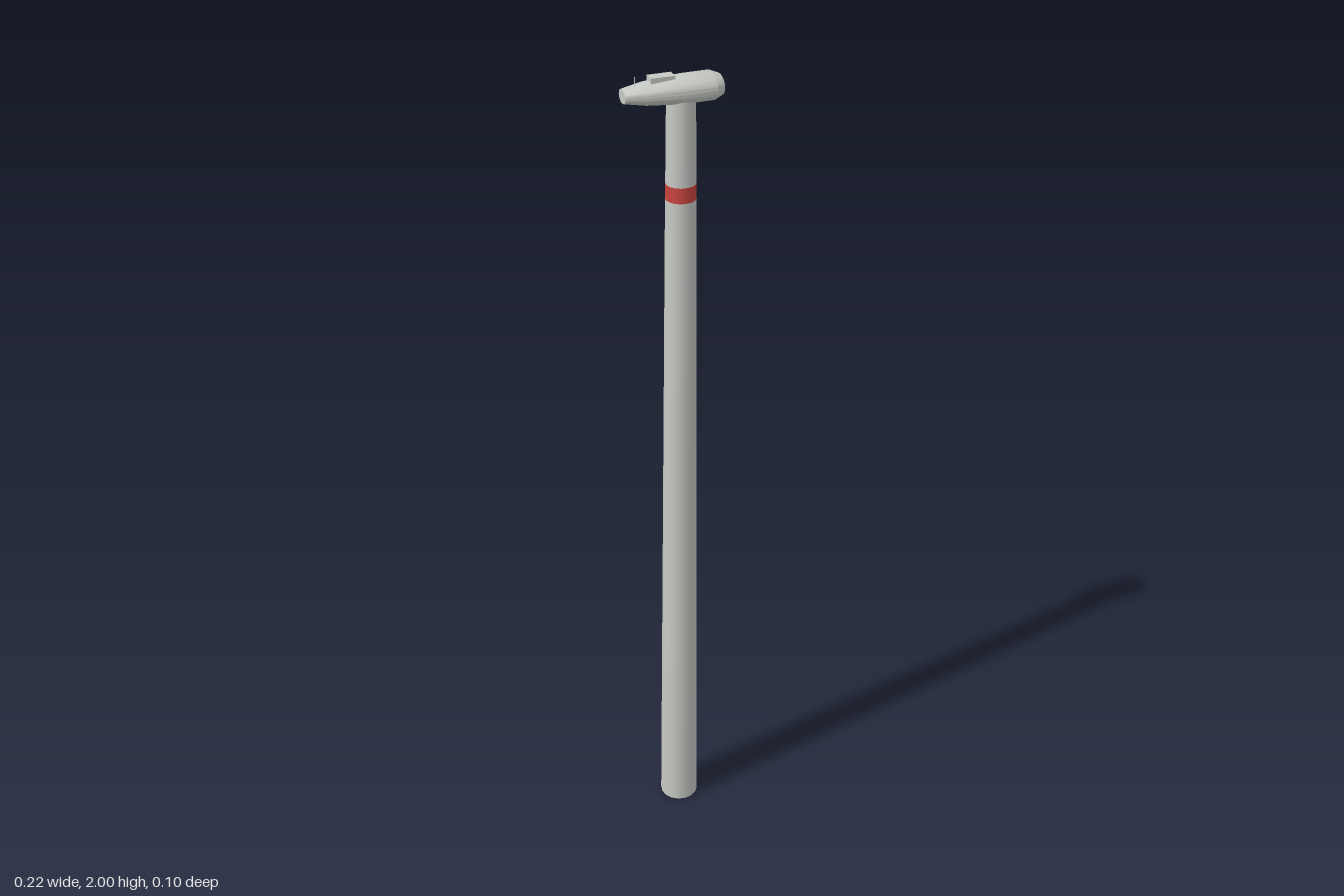
import * as THREE from 'three';
import { toCreasedNormals } from 'three/addons/utils/BufferGeometryUtils.js';

const SIDES = 16;
const TOWER_X = 0.022;

export function createModel() {
  const model = new THREE.Group();
  model.name = 'windTurbineTower';

  const paleGrey = new THREE.MeshStandardMaterial({ color: 0xc6c9c4 });
  paleGrey.name = 'pale grey';
  const red = new THREE.MeshStandardMaterial({ color: 0xc8443e });
  red.name = 'warning red';

  const add = (name, geometry, material, x = 0, y = 0, z = 0) => {
    const mesh = new THREE.Mesh(geometry, material);
    mesh.name = name;
    mesh.position.set(x, y, z);
    model.add(mesh);
    return mesh;
  };

  // Tapered tower, stacked in sections with a red warning band
  const section = (name, y0, y1, r0, r1, material, open) => add(
    name,
    new THREE.CylinderGeometry(r1, r0, y1 - y0, SIDES, 1, open),
    material, TOWER_X, (y0 + y1) / 2);
  section('lowerTower', 0, 1.714, 0.048, 0.0345, paleGrey, false);
  section('warningBand', 1.714, 1.75, 0.0345, 0.034, red, true);
  section('upperTower', 1.75, 1.945, 0.034, 0.032, paleGrey, false);

  // Nacelle: turned along x, flattened in height, [x, radius]
  const profile = [
    [-0.11, 0], [-0.11, 0.021], [-0.062, 0.033], [0, 0.04], [0.03, 0.042],
    [0.09, 0.042], [0.11, 0.031], [0.11, 0],
  ].map(([x, r]) => new THREE.Vector2(r, x));
  const hull = new THREE.LatheGeometry(profile, 24);
  hull.rotateZ(-Math.PI / 2);
  hull.scale(1, 0.73, 1);
  add('nacelle', toCreasedNormals(hull, 0.45), paleGrey, 0, 1.962, 0);

  // Roof hatch and slim mast
  add('roofHatch', new THREE.BoxGeometry(0.054, 0.02, 0.027), paleGrey, -0.023, 1.987, 0);
  add('mast', new THREE.CylinderGeometry(0.001, 0.001, 0.03, 6), paleGrey, -0.082, 1.985, 0);

  return model;
}
